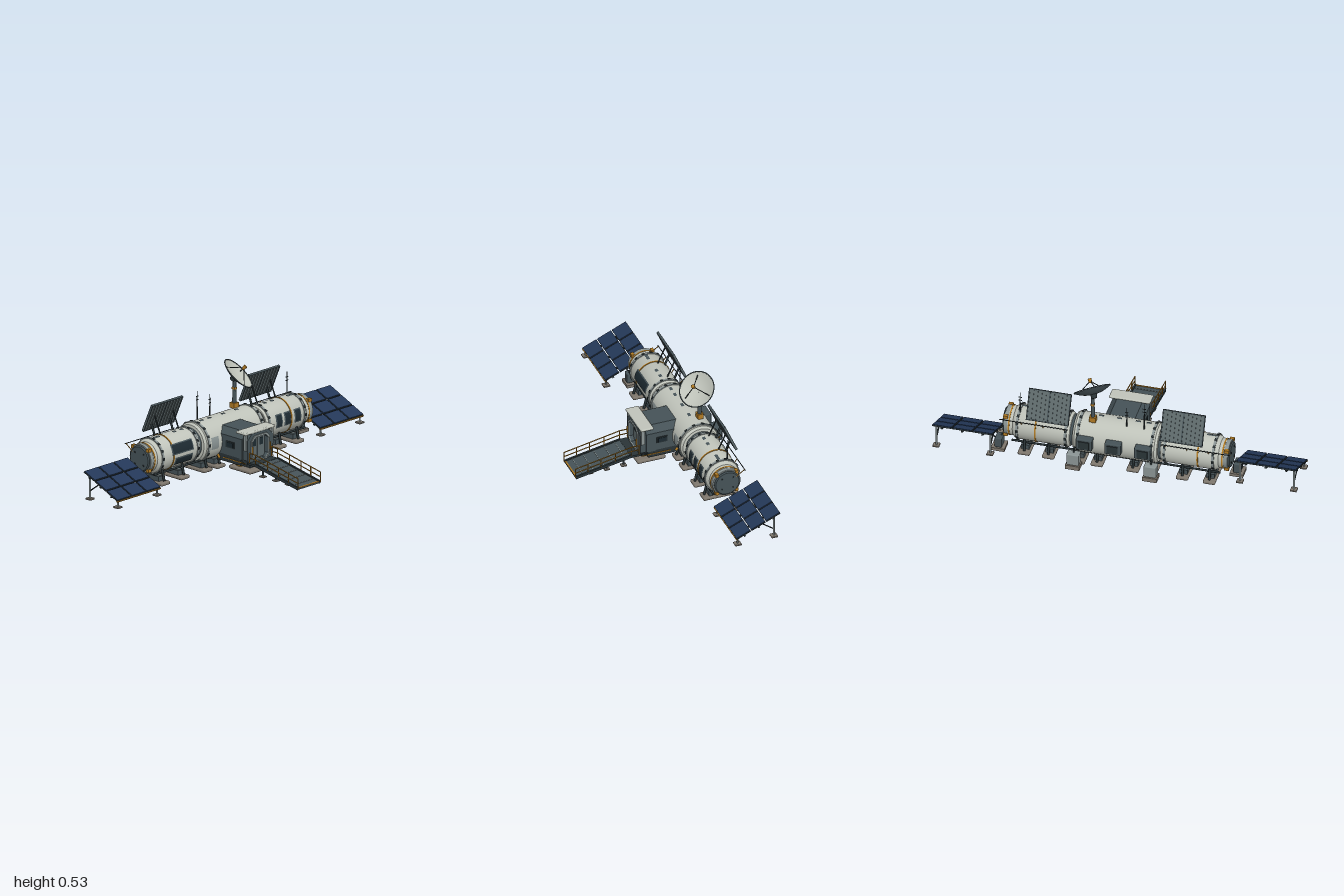
import * as THREE from 'three';
import { toCreasedNormals } from 'three/addons/utils/BufferGeometryUtils.js';
import { RoundedBoxGeometry } from 'three/addons/geometries/RoundedBoxGeometry.js';

const material = (name, color) => {
  const m = new THREE.MeshStandardMaterial({ color });
  m.name = name;
  return m;
};
const hull = material('hull cream', 0xbfc3ba);
const slate = material('slate', 0x455257);
const dark = material('dark metal', 0x2a3437);
const trim = material('grey trim', 0x8a9494);
const orange = material('safety orange', 0xb07a24);
const navy = material('solar navy', 0x243858);
const glass = material('dark glass', 0x1d2a31);
const radiatorGrey = material('radiator grey', 0x5f6b6d);
const taupe = material('pad taupe', 0x7d766c);

const AXIS_Y = 0.155, AXIS_Z = -0.25;
const V = (x, y, z) => new THREE.Vector3(x, y, z);

function add(parent, name, geo, mat, x = 0, y = 0, z = 0) {
  const m = new THREE.Mesh(geo, mat);
  m.name = name;
  m.position.set(x, y, z);
  parent.add(m);
  return m;
}
const box = (p, name, mat, w, h, d, x, y, z) => add(p, name, new THREE.BoxGeometry(w, h, d), mat, x, y, z);
const rounded = (p, name, mat, w, h, d, x, y, z, r = 0.006) =>
  add(p, name, new RoundedBoxGeometry(w, h, d, 2, r), mat, x, y, z);
// Round bar between two points
function rod(p, name, mat, a, b, r = 0.003, r2 = r) {
  const d = b.clone().sub(a);
  const m = add(p, name, new THREE.CylinderGeometry(r2, r, d.length(), 8), mat);
  m.position.copy(a).lerp(b, 0.5);
  m.quaternion.setFromUnitVectors(V(0, 1, 0), d.normalize());
  return m;
}
function group(parent, name, x = 0, y = 0, z = 0) {
  const g = new THREE.Group();
  g.name = name;
  g.position.set(x, y, z);
  parent.add(g);
  return g;
}
// Turned body lying along x; points are [x, radius]
function turned(p, name, mat, pts) {
  const geo = new THREE.LatheGeometry(pts.map(([x, r]) => new THREE.Vector2(r, x)), 40);
  geo.rotateZ(-Math.PI / 2);
  return add(p, name, toCreasedNormals(geo, 0.5), mat, 0, AXIS_Y, AXIS_Z);
}
const band = (p, name, mat, x, w, r) =>
  turned(p, name, mat, [[x - w / 2, 0.06], [x - w / 2, r], [x + w / 2, r], [x + w / 2, 0.06]]);
// Curved plate on the hull between two elevations in degrees, measured from the front
function patch(p, name, mat, x, w, e0, e1, r) {
  const k = Math.PI / 180;
  const geo = new THREE.CylinderGeometry(r, r, w, 8, 1, true, -e1 * k, (e1 - e0) * k);
  geo.rotateZ(-Math.PI / 2);
  return add(p, name, geo, mat, x, AXIS_Y, AXIS_Z);
}
function framedWindow(p, x, w, e0, e1, r) {
  patch(p, 'windowFrame', slate, x, w + 0.014, e0 - 4, e1 + 4, r + 0.004);
  patch(p, 'windowGlass', glass, x, w, e0, e1, r + 0.006);
}
function collar(p, x, r) {
  band(p, 'collar', trim, x, 0.014, r + 0.004);
  for (let i = 0; i < 14; i++) {
    const a = (i + 0.5) / 14 * Math.PI * 2;
    const b = box(p, 'collarClamp', dark, 0.012, 0.007, 0.014, x, AXIS_Y + Math.cos(a) * (r + 0.004), AXIS_Z + Math.sin(a) * (r + 0.004));
    b.rotation.x = a;
  }
}
// Octagonal section of the airlock
function octagon(w, y0, y1, c, Type = THREE.Shape) {
  return new Type([[-w + c, y0], [w - c, y0], [w, y0 + c], [w, y1 - c], [w - c, y1], [-w + c, y1], [-w, y1 - c], [-w, y0 + c]]
    .map(([x, y]) => new THREE.Vector2(x, y)));
}
const extrude = (shape, depth) => new THREE.ExtrudeGeometry(shape, { depth, bevelEnabled: false });

function buildModules(root) {
  const g = group(root, 'modules');
  turned(g, 'centreModule', hull, [[-0.238, 0.08], [-0.235, 0.1], [-0.222, 0.11], [0.222, 0.11], [0.235, 0.1], [0.238, 0.08]]);
  for (const x of [-0.205, 0.205]) collar(g, x, 0.11);
  for (const s of [-1, 1]) {
    const side = group(g, s > 0 ? 'leftModule' : 'rightModule');
    const flip = pts => (s > 0 ? pts : pts.map(([x, r]) => [-x, r]).reverse());
    band(side, 'neck', slate, s * 0.243, 0.04, 0.085);
    turned(side, 'moduleShell', hull, flip([[0.25, 0.08], [0.254, 0.09], [0.264, 0.096], [0.55, 0.096], [0.564, 0.09], [0.572, 0.082], [0.6, 0.082], [0.6, 0.06]]));
    collar(side, s * 0.275, 0.096);
    collar(side, s * 0.545, 0.096);
    band(side, 'endBand', orange, s * 0.593, 0.008, 0.084);
    band(side, 'endRing', trim, s * 0.611, 0.022, 0.08);
    turned(side, 'endHatch', slate, flip([[0.6, 0.073], [0.626, 0.073], [0.632, 0.067], [0.632, 0]]));
    for (const [y, z] of [[1, 1], [1, -1], [-1, 1], [-1, -1]]) {
      box(side, 'hatchBolt', dark, 0.006, 0.008, 0.008, s * 0.632, AXIS_Y + y * 0.032, AXIS_Z + z * 0.032);
      box(side, 'endLatch', orange, 0.025, 0.018, 0.018, s * 0.615, AXIS_Y + y * 0.057, AXIS_Z + z * 0.057);
    }
    band(side, 'stripe', orange, s > 0 ? 0.443 : -0.46, 0.008, 0.099);
    for (const x of [0.32, 0.375, 0.5, 0.525]) patch(side, 'roofHatch', slate, s * x, 0.024, 78, 88, 0.1);
    // Rear grab rail
    rod(side, 'grabRail', dark, V(s * 0.26, 0.22, -0.35), V(s * 0.64, 0.22, -0.35), 0.0025);
    for (const x of [0.28, 0.4, 0.52, 0.63])
      rod(side, 'railPost', orange, V(s * x, 0.185, x > 0.6 ? -0.3 : -0.325), V(s * x, 0.22, -0.35), 0.0025);
  }
  framedWindow(g, -0.395, 0.15, 6, 34, 0.096);
  framedWindow(g, -0.385, 0.12, -32, -12, 0.096);
  for (const x of [0.345, 0.41, 0.487]) framedWindow(g, x, 0.036, -12, 24, 0.096);
  for (const x of [-0.165, -0.105, 0.0, 0.1]) patch(g, 'roofHatch', slate, x, 0.028, 80, 88, 0.114);
  for (const x of [-0.16, 0.16]) patch(g, 'servicePanel', trim, x, 0.055, -15, 20, 0.113);
  // Rear equipment and conduits
  for (const x of [-0.165, 0, 0.16]) {
    rounded(g, 'rearUnit', slate, 0.09, 0.07, 0.045, x, 0.165, -0.368);
    box(g, 'rearUnitGrille', dark, 0.06, 0.045, 0.008, x, 0.165, -0.391);
  }
  for (const z of [-0.19, -0.31]) rod(g, 'conduit', dark, V(-0.58, 0.066, z), V(0.58, 0.066, z), 0.006);
  for (const x of [-0.21, 0.22]) {
    rounded(g, 'groundTank', trim, 0.07, 0.07, 0.05, x, 0.06, -0.375);
    box(g, 'tankBase', taupe, 0.08, 0.025, 0.06, x, 0.0125, -0.375);
    rod(g, 'tankPipe', dark, V(x, 0.09, -0.375), V(x, 0.13, -0.34), 0.005);
  }
}

function buildFeet(root) {
  for (const x of [-0.525, -0.375, -0.2, -0.1, 0.1, 0.2, 0.37, 0.505]) {
    const f = group(root, 'foot', x, 0, AXIS_Z);
    rounded(f, 'footPad', taupe, 0.068, 0.02, 0.2, 0, 0.012, 0, 0.008);
    box(f, 'footBlock', slate, 0.045, 0.03, 0.13, 0, 0.034, 0);
    box(f, 'saddle', trim, 0.03, 0.03, 0.1, 0, 0.06, 0);
    for (const s of [-1, 1]) rod(f, 'footStrut', dark, V(0, 0.025, s * 0.085), V(0, 0.09, s * 0.07), 0.007);
  }
}

function buildAirlock(root) {
  const g = group(root, 'airlock');
  add(g, 'airlockBody', extrude(octagon(0.105, 0.05, 0.235, 0.035), 0.19), slate, 0, 0, -0.18);
  const frame = octagon(0.098, 0.05, 0.232, 0.035);
  frame.holes.push(octagon(0.062, 0.075, 0.21, 0.022, THREE.Path));
  add(g, 'doorFrame', extrude(frame, 0.035), slate, 0, 0, 0.008);
  const lip = octagon(0.07, 0.072, 0.217, 0.025);
  lip.holes.push(octagon(0.06, 0.078, 0.207, 0.022, THREE.Path));
  add(g, 'doorLip', extrude(lip, 0.006), trim, 0, 0, 0.043);
  for (const s of [-1, 1]) {
    box(g, 'doorLeaf', radiatorGrey, 0.054, 0.125, 0.01, s * 0.029, 0.142, 0.016);
    box(g, 'doorWindow', glass, 0.024, 0.04, 0.004, s * 0.027, 0.168, 0.022);
    box(g, 'doorHandle', orange, 0.005, 0.04, 0.01, s * 0.066, 0.14, 0.051);
    box(g, 'sideWindowFrame', dark, 0.006, 0.036, 0.062, s * 0.106, 0.152, -0.08);
    box(g, 'sideWindow', glass, 0.004, 0.024, 0.048, s * 0.109, 0.152, -0.08);
    box(g, 'skirtStripe', orange, 0.004, 0.004, 0.17, s * 0.107, 0.07, -0.045);
    rod(g, 'jack', orange, V(s * 0.06, 0.025, -0.04), V(s * 0.085, 0.055, -0.08), 0.007);
    rod(g, 'dockingJack', orange, V(s * 0.1, 0.06, -0.16), V(s * 0.1, 0.085, -0.18), 0.01);
    box(g, 'canopyPost', trim, 0.012, 0.09, 0.02, s * 0.1, 0.185, 0.03);
  }
  box(g, 'skirt', dark, 0.21, 0.04, 0.17, 0, 0.07, -0.085);
  rounded(g, 'canopy', hull, 0.23, 0.014, 0.075, 0, 0.237, 0.008);
  rounded(g, 'airlockPad', taupe, 0.18, 0.022, 0.165, 0, 0.018, -0.027, 0.01);
  box(g, 'padColumn', dark, 0.1, 0.03, 0.09, 0, 0.042, -0.03);
}

function buildRamp(root) {
  const g = group(root, 'ramp');
  box(g, 'landing', dark, 0.176, 0.012, 0.06, 0, 0.066, 0.063);
  const deck = group(g, 'rampDeck', 0, 0.037, 0.25);
  deck.rotation.x = Math.atan2(0.06, 0.32);
  box(deck, 'rampPlate', slate, 0.17, 0.008, 0.326, 0, 0, 0);
  for (let i = 0; i < 5; i++) box(deck, 'rampTread', trim, 0.15, 0.003, 0.003, 0, 0.005, -0.13 + i * 0.062);
  for (const s of [-1, 1]) box(deck, 'rampCurb', dark, 0.01, 0.016, 0.326, s * 0.083, 0.002, 0);
  box(deck, 'rampLip', orange, 0.17, 0.004, 0.008, 0, 0.005, 0.158);
  const deckY = z => 0.07 - Math.max(0, z - 0.09) * 0.1875;
  for (const s of [-1, 1]) {
    const x = s * 0.085;
    for (const z of [0.045, 0.09, 0.18, 0.265, 0.34, 0.412])
      rod(g, 'handrailPost', orange, V(x, deckY(z), z), V(x, deckY(z) + 0.057, z), 0.0028);
    for (const h of [0.03, 0.057]) {
      rod(g, 'handrail', orange, V(x, deckY(0.09) + h, 0.09), V(x, deckY(0.412) + h, 0.412), 0.003);
      rod(g, 'landingRail', orange, V(x, 0.07 + h, 0.04), V(x, 0.07 + h, 0.09), 0.003);
    }
    for (const z of [0.127, 0.225, 0.32]) {
      rod(g, 'rampLeg', slate, V(s * 0.065, 0.008, z), V(s * 0.065, deckY(z) - 0.006, z), 0.005);
      rounded(g, 'rampFoot', taupe, 0.03, 0.008, 0.032, s * 0.065, 0.01, z, 0.003);
    }
  }
}

function buildSolarArray(root, s) {
  const zc = s > 0 ? -0.285 : -0.182;
  const g = group(root, 'solarArray', s * 0.831, 0, zc);
  const tilt = Math.atan2(0.11, 0.255);
  const deck = group(g, 'solarDeck', 0, 0.1, 0);
  deck.rotation.x = tilt;
  for (let i = -1; i <= 1; i++) {
    for (let j = -1; j <= 1; j++) {
      box(deck, 'panelBack', dark, 0.108, 0.006, 0.088, i * 0.113, 0, j * 0.093);
      box(deck, 'solarCell', navy, 0.104, 0.004, 0.084, i * 0.113, 0.004, j * 0.093);
    }
    box(deck, 'crossBeam', dark, 0.335, 0.008, 0.01, 0, -0.007, i * 0.09);
    box(deck, 'longBeam', dark, 0.01, 0.008, 0.27, i * 0.113, -0.009, 0);
  }
  box(deck, 'frontBeam', orange, 0.335, 0.006, 0.008, 0, -0.005, 0.137);
  for (const e of [-1, 1]) {
    const x = e * 0.15;
    rod(g, 'frontLeg', trim, V(x, 0.008, 0.115), V(x, 0.046, 0.115), 0.005);
    rod(g, 'rearLeg', trim, V(x, 0.008, -0.095), V(x, 0.135, -0.095), 0.006);
    rod(g, 'legBrace', dark, V(x, 0.05, -0.095), V(x, 0.105, -0.02), 0.0035);
    for (const z of [0.115, -0.095]) rounded(g, 'arrayFoot', taupe, 0.038, 0.01, 0.038, x, 0.006, z, 0.004);
  }
  // Battery and cable to the end of the station
  const z = zc - 0.02;
  rounded(root, 'battery', slate, 0.04, 0.06, 0.065, s * 0.65, 0.05, z);
  box(root, 'batteryBase', taupe, 0.075, 0.018, 0.08, s * 0.65, 0.011, z);
  rod(root, 'powerCable', dark, V(s * 0.65, 0.075, z), V(s * 0.59, 0.1, AXIS_Z), 0.005);
  rod(root, 'powerCable', dark, V(s * 0.66, 0.05, z), V(s * 0.72, 0.09, zc), 0.004);
}

function buildRadiator(root, x) {
  const g = group(root, 'radiator', x, 0.335, -0.325);
  g.rotation.x = Math.atan2(0.07, 0.16);
  box(g, 'radiatorSheet', radiatorGrey, 0.236, 0.175, 0.006, 0, 0, 0);
  for (let i = 0; i <= 10; i++) box(g, 'radiatorRib', i % 5 ? radiatorGrey : slate, 0.006, 0.175, 0.014, -0.115 + i * 0.023, 0, 0);
  for (const y of [-0.085, 0.085]) box(g, 'radiatorEdge', slate, 0.236, 0.006, 0.012, 0, y, 0);
  for (const dx of [-0.07, 0.07]) {
    rod(root, 'radiatorMount', dark, V(x + dx, 0.215, -0.31), V(x + dx, 0.29, -0.34), 0.006);
    rod(root, 'radiatorBrace', dark, V(x + dx, 0.24, -0.27), V(x + dx, 0.345, -0.318), 0.004);
  }
}

function buildDish(root) {
  rod(root, 'dishMast', slate, V(0.135, 0.25, -0.285), V(0.137, 0.43, -0.285), 0.013, 0.009);
  box(root, 'mastBase', orange, 0.036, 0.03, 0.034, 0.135, 0.275, -0.285);
  box(root, 'mastClip', orange, 0.02, 0.012, 0.022, 0.136, 0.37, -0.285);
  const n = V(0.4, 0.72, 0.56).normalize();
  const g = group(root, 'dish');
  g.position.set(0.145, 0.455, -0.265).addScaledVector(n, -0.028);
  g.quaternion.setFromUnitVectors(V(0, 1, 0), n);
  const bowl = [0, 0.025, 0.05, 0.075, 0.1].map(r => new THREE.Vector2(r, r * r * 2.8));
  add(g, 'dishBack', new THREE.LatheGeometry(bowl, 32), slate, 0, -0.003, 0);
  add(g, 'dishFace', new THREE.LatheGeometry(bowl.slice().reverse(), 32), hull);
  add(g, 'dishRim', new THREE.TorusGeometry(0.1, 0.003, 6, 36).rotateX(Math.PI / 2), slate, 0, 0.028, 0);
  add(g, 'dishHub', new THREE.CylinderGeometry(0.02, 0.014, 0.024, 12), dark, 0, -0.012, 0);
  for (let i = 0; i < 3; i++) {
    const a = i * Math.PI * 2 / 3;
    rod(g, 'feedStrut', dark, V(Math.sin(a) * 0.08, 0.018, Math.cos(a) * 0.08), V(0, 0.073, 0), 0.0025);
  }
  add(g, 'feedHorn', new THREE.CylinderGeometry(0.011, 0.008, 0.024, 10), orange, 0, 0.075, 0);
}

export function createModel() {
  const root = new THREE.Group();
  root.name = 'spaceStationBase';
  buildModules(root);
  buildFeet(root);
  buildAirlock(root);
  buildRamp(root);
  for (const s of [-1, 1]) buildSolarArray(root, s);
  for (const x of [-0.375, 0.37]) buildRadiator(root, x);
  buildDish(root);
  // Whip antennas with cross bars
  for (const [x, y0, y1] of [[-0.15, 0.25, 0.42], [-0.053, 0.25, 0.38], [0.54, 0.235, 0.37]]) {
    rod(root, 'antenna', dark, V(x, y0, -0.285), V(x, y1, -0.285), 0.004, 0.002);
    for (const t of [0.03, 0.05]) box(root, 'antennaBar', dark, 0.018, 0.003, 0.003, x, y1 - t, -0.285);
  }
  return root;
}
